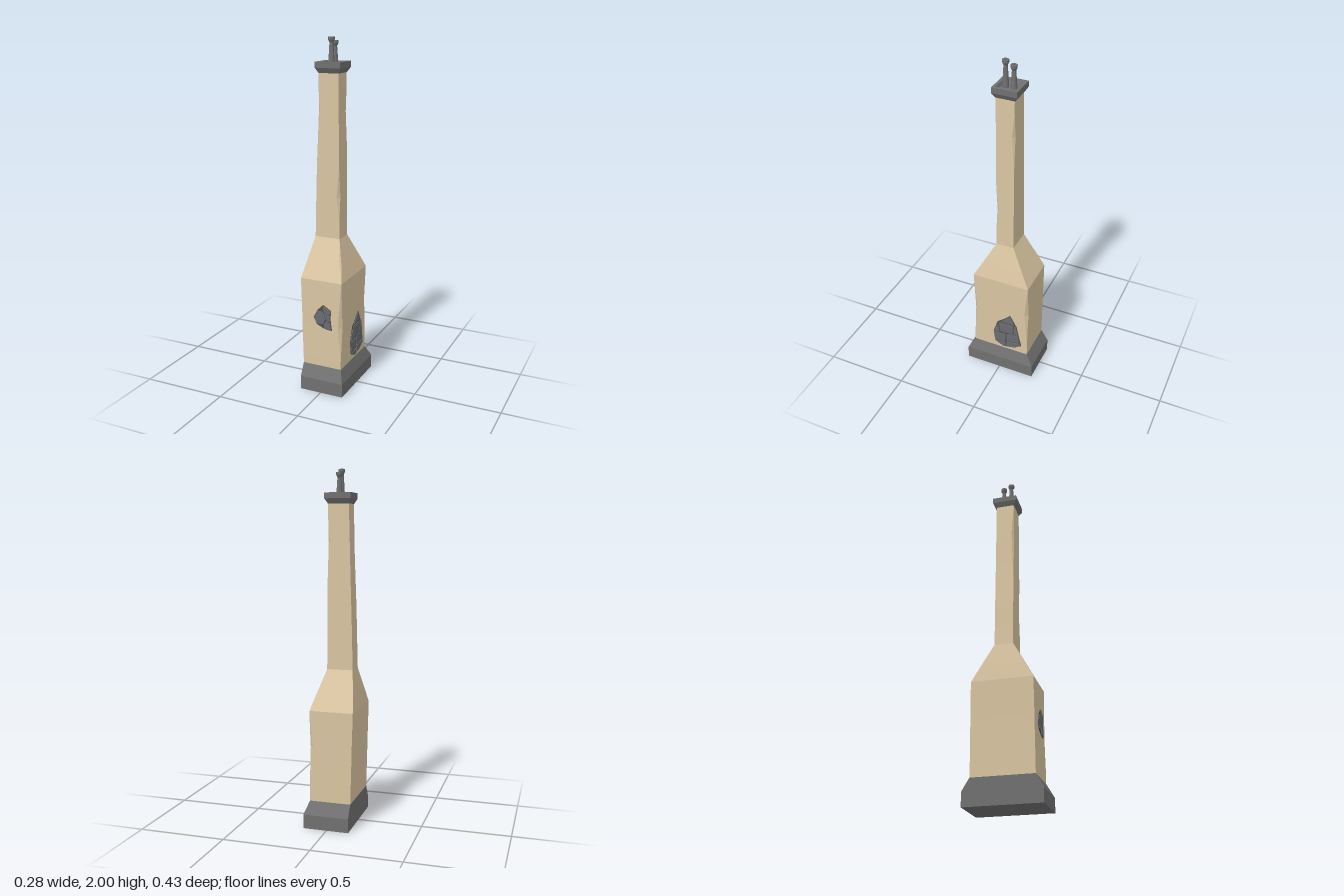
import * as THREE from 'three';

const mat = (name, color) => {
  const m = new THREE.MeshStandardMaterial({ color });
  m.name = name;
  return m;
};

// Rectangular loft. Level: [y, x0, x1, z0, z1, chips], chips = corner cuts
// in the order front right, back right, back left, front left.
function loft(levels) {
  const rings = levels.map(([y, x0, x1, z0, z1, c = [0, 0, 0, 0]]) => [
    [x1 - c[0], z1], [x1, z1 - c[0]],
    [x1, z0 + c[1]], [x1 - c[1], z0],
    [x0 + c[2], z0], [x0, z0 + c[2]],
    [x0, z1 - c[3]], [x0 + c[3], z1],
  ].map(([x, z]) => new THREE.Vector3(x, y, z)));
  const pos = [];
  const tri = (a, b, c) => {
    const area = b.clone().sub(a).cross(c.clone().sub(a)).length();
    if (area > 1e-8) for (const p of [a, b, c]) pos.push(p.x, p.y, p.z);
  };
  for (let r = 0; r < rings.length - 1; r++) {
    for (let i = 0; i < 8; i++) {
      const j = (i + 1) % 8, a = rings[r], b = rings[r + 1];
      tri(a[i], a[j], b[j]);
      tri(a[i], b[j], b[i]);
    }
  }
  const first = rings[0], last = rings[rings.length - 1];
  for (let i = 1; i < 7; i++) {
    tri(first[0], first[i + 1], first[i]);
    tri(last[0], last[i], last[i + 1]);
  }
  const g = new THREE.BufferGeometry();
  g.setAttribute('position', new THREE.Float32BufferAttribute(pos, 3));
  g.computeVertexNormals();
  return g;
}

// Thin plate from an outline
function plate(points, depth) {
  const shape = new THREE.Shape(points.map(([x, y]) => new THREE.Vector2(x, y)));
  return new THREE.ExtrudeGeometry(shape, { depth, bevelEnabled: false });
}

export function createModel() {
  const model = new THREE.Group();
  model.name = 'chimney';
  const plaster = mat('tan plaster', 0xdac5a2);
  const stone = mat('grey stone', 0x707070);
  const brick = mat('exposed brick', 0x6a6c6f);
  const mortar = mat('dark mortar', 0x505050);

  const add = (name, geometry, material, parent = model) => {
    const m = new THREE.Mesh(geometry, material);
    m.name = name;
    parent.add(m);
    return m;
  };

  // Plinth, flush with the body on the left-hand wall
  add('plinth', loft([
    [0, -0.127, 0.136, -0.218, 0.215],
    [0.08, -0.127, 0.136, -0.218, 0.215],
    [0.15, -0.127, 0.11, -0.175, 0.175],
  ]), stone);

  // Plastered body, shoulder and shaft with chipped corners
  add('stack', loft([
    [0.15, -0.127, 0.11, -0.174, 0.175],
    [0.2, -0.128, 0.11, -0.174, 0.175],
    [0.4, -0.133, 0.111, -0.174, 0.174, [0.02, 0.012, 0, 0]],
    [0.46, -0.134, 0.111, -0.174, 0.174, [0.016, 0.02, 0, 0]],
    [0.67, -0.14, 0.112, -0.174, 0.173],
    [0.76, -0.126, 0.085, -0.125, 0.124, [0.01, 0, 0, 0]],
    [0.89, -0.105, 0.045, -0.053, 0.053],
    [1.0, -0.102, 0.044, -0.053, 0.053],
    [1.13, -0.099, 0.043, -0.053, 0.053, [0.016, 0, 0, 0]],
    [1.3, -0.094, 0.042, -0.053, 0.053],
    [1.4, -0.091, 0.041, -0.053, 0.053, [0, 0, 0, 0.004]],
    [1.6, -0.086, 0.039, -0.053, 0.053, [0, 0.014, 0, 0.013]],
    [1.75, -0.082, 0.038, -0.053, 0.053, [0, 0, 0, 0.004]],
    [1.82, -0.08, 0.037, -0.053, 0.053],
  ]), plaster);

  // Cap with a recessed top
  add('cap', loft([
    [1.81, -0.08, 0.038, -0.055, 0.054],
    [1.838, -0.095, 0.054, -0.073, 0.07],
    [1.87, -0.095, 0.054, -0.073, 0.07],
    [1.87, -0.078, 0.038, -0.055, 0.054],
    [1.852, -0.07, 0.03, -0.046, 0.045],
  ]), stone);

  // Two flared pots with hollow tops
  const pot = (name, z, top) => {
    const profile = [
      [0.018, 1.85], [0.011, top - 0.03], [0.018, top - 0.015], [0.018, top],
      [0.009, top], [0.008, top - 0.02], [0, top - 0.02],
    ].map(([r, y]) => new THREE.Vector2(r, y));
    const g = new THREE.LatheGeometry(profile, 16).toNonIndexed();
    g.computeVertexNormals();
    add(name, g, stone).position.set(-0.018, 0, z);
  };
  pot('tallPot', 0.022, 2);
  pot('shortPot', -0.024, 1.98);

  // Patches of bare brick where the plaster has fallen away
  const patch = (name, outline, stones) => {
    const g = new THREE.Group();
    g.name = name;
    add('mortarBed', plate(outline, 0.004), mortar, g);
    stones.forEach((s) => add('brick', plate(s, 0.008), brick, g));
    model.add(g);
    return g;
  };

  patch('frontPatch', [
    [0, 0.53], [0.05, 0.5], [0.045, 0.45], [0.055, 0.38],
    [0.01, 0.385], [-0.04, 0.407], [-0.06, 0.45], [-0.035, 0.495],
  ], [
    [[0, 0.525], [0.048, 0.5], [0.044, 0.475], [0.004, 0.49]],
    [[-0.055, 0.45], [-0.035, 0.49], [-0.003, 0.49], [0.016, 0.45], [0, 0.415], [-0.038, 0.412]],
    [[0.006, 0.484], [0.043, 0.469], [0.042, 0.43], [0.022, 0.445]],
    [[0.006, 0.415], [0.02, 0.438], [0.044, 0.422], [0.05, 0.385], [0.01, 0.39]],
  ]).position.z = 0.172;

  const side = patch('sidePatch', [
    [0.063, 0.428], [0.106, 0.35], [0.12, 0.28], [0.137, 0.206], [0.09, 0.175],
    [0.02, 0.162], [-0.037, 0.188], [-0.048, 0.27], [-0.02, 0.355], [0.02, 0.386],
  ], [
    [[0, 0.362], [0.022, 0.382], [0.063, 0.42], [0.09, 0.365]],
    [[-0.01, 0.35], [0.085, 0.355], [0.08, 0.29], [0, 0.28]],
    [[0.09, 0.352], [0.103, 0.348], [0.117, 0.285], [0.087, 0.29]],
    [[-0.045, 0.27], [-0.035, 0.305], [-0.016, 0.34], [-0.005, 0.275]],
    [[-0.036, 0.2], [-0.045, 0.262], [0.035, 0.27], [0.03, 0.205]],
    [[0.04, 0.272], [0.08, 0.282], [0.117, 0.275], [0.124, 0.23], [0.04, 0.215]],
    [[0.04, 0.207], [0.126, 0.222], [0.132, 0.206], [0.09, 0.18], [0.04, 0.17]],
    [[-0.033, 0.192], [0.032, 0.197], [0.032, 0.167], [0.02, 0.166]],
  ]);
  side.rotation.y = Math.PI / 2;
  side.position.x = 0.108;

  return model;
}
